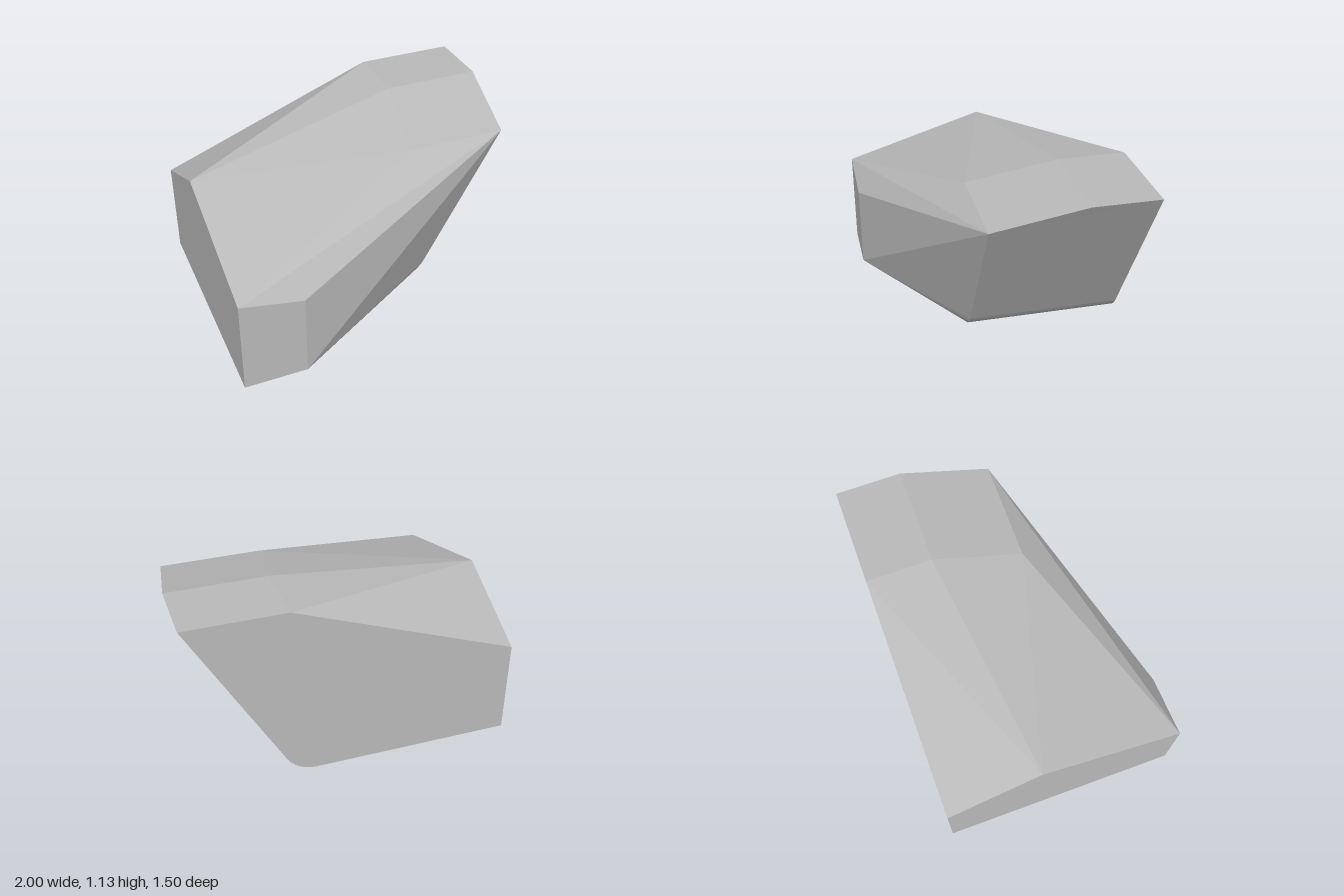
import * as THREE from 'three';

const stone = new THREE.MeshStandardMaterial({ color: 0xbababa });
stone.name = 'plain grey';

// Flat convex polygons, fanned into triangles that face away from the middle of the body
function facets(name, polygons) {
  const middle = new THREE.Vector3(-0.1, 0.45, -0.1);
  const positions = [];
  for (const polygon of polygons) {
    const p = polygon.map((c) => new THREE.Vector3(...c));
    for (let i = 1; i < p.length - 1; i++) {
      const tri = new THREE.Triangle(p[0], p[i], p[i + 1]);
      const outward = tri.getNormal(new THREE.Vector3()).dot(p[0].clone().sub(middle)) > 0;
      const corners = outward ? [p[0], p[i], p[i + 1]] : [p[0], p[i + 1], p[i]];
      corners.forEach((v) => positions.push(v.x, v.y, v.z));
    }
  }
  const geometry = new THREE.BufferGeometry();
  geometry.setAttribute('position', new THREE.Float32BufferAttribute(positions, 3));
  geometry.computeVertexNormals();
  const mesh = new THREE.Mesh(geometry, stone);
  mesh.name = name;
  return mesh;
}

export function createModel() {
  const group = new THREE.Group();
  group.name = 'facetedBlock';
  const back = -0.75, front = 0.75, shoulder = 0.2;

  // Corners of the roof
  const endBack = [-1, 0.605, back];
  const endRidge = [-1, 0.885, -0.155];
  const endFront = [-1, 0.608, front];
  const noseTop = [-0.61, 0.535, front];
  const crownBackIn = [0.385, 1.13, back];
  const crownBackOut = [1, 1.13, back];
  const crownFrontOut = [1, 1.13, -0.342];
  const crownFrontIn = [0.385, 1.13, -0.342];
  const shoulderOut = [0.92, 0.993, shoulder];
  const shoulderIn = [0.295, 0.993, shoulder];

  // Corners of the base
  const baseBack = [-1, 0, back];
  const baseFront = [-1, 0, front];
  const noseBase = [-0.61, 0, front];

  // Rounded lower edge, turning from the flat base to the leaning side
  const steps = 6, radius = 0.215, startX = 0.233;
  const lean = Math.atan2(1.13, 0.654);
  const round = (z) => Array.from({ length: steps + 1 }, (_, i) => {
    const a = (lean * i) / steps;
    return [startX + radius * Math.sin(a), radius * (1 - Math.cos(a)), z];
  });
  const roundBack = round(back), roundFront = round(shoulder);

  group.add(facets('roof', [
    [endBack, endRidge, crownBackIn],
    [endRidge, crownFrontIn, crownBackIn],
    [crownBackIn, crownFrontIn, crownFrontOut, crownBackOut],
    [crownFrontIn, shoulderIn, shoulderOut, crownFrontOut],
    [endRidge, shoulderIn, crownFrontIn],
    [endRidge, endFront, shoulderIn],
    [endFront, shoulderOut, shoulderIn],
    [endFront, noseTop, shoulderOut],
  ]));

  group.add(facets('endWall', [[baseBack, baseFront, endFront, endRidge, endBack]]));
  group.add(facets('backWall', [[baseBack, endBack, crownBackIn, crownBackOut, ...roundBack.slice().reverse()]]));
  group.add(facets('nose', [[baseFront, noseBase, noseTop, endFront]]));
  group.add(facets('frontCheek', [
    [noseBase, shoulderOut, noseTop],
    [noseBase, roundFront[steps], shoulderOut],
  ]));
  group.add(facets('leaningSide', [
    [crownBackOut, crownFrontOut, shoulderOut, roundFront[steps], roundBack[steps]],
  ]));
  group.add(facets('base', [[baseBack, roundBack[0], roundFront[0], noseBase, baseFront]]));

  // Strips of the rounded edge and the slivers that run from it to the nose
  const strips = [];
  for (let i = 0; i < steps; i++) {
    strips.push([roundBack[i], roundBack[i + 1], roundFront[i + 1], roundFront[i]]);
    strips.push([noseBase, roundFront[i], roundFront[i + 1]]);
  }
  group.add(facets('roundedEdge', strips));
  return group;
}
